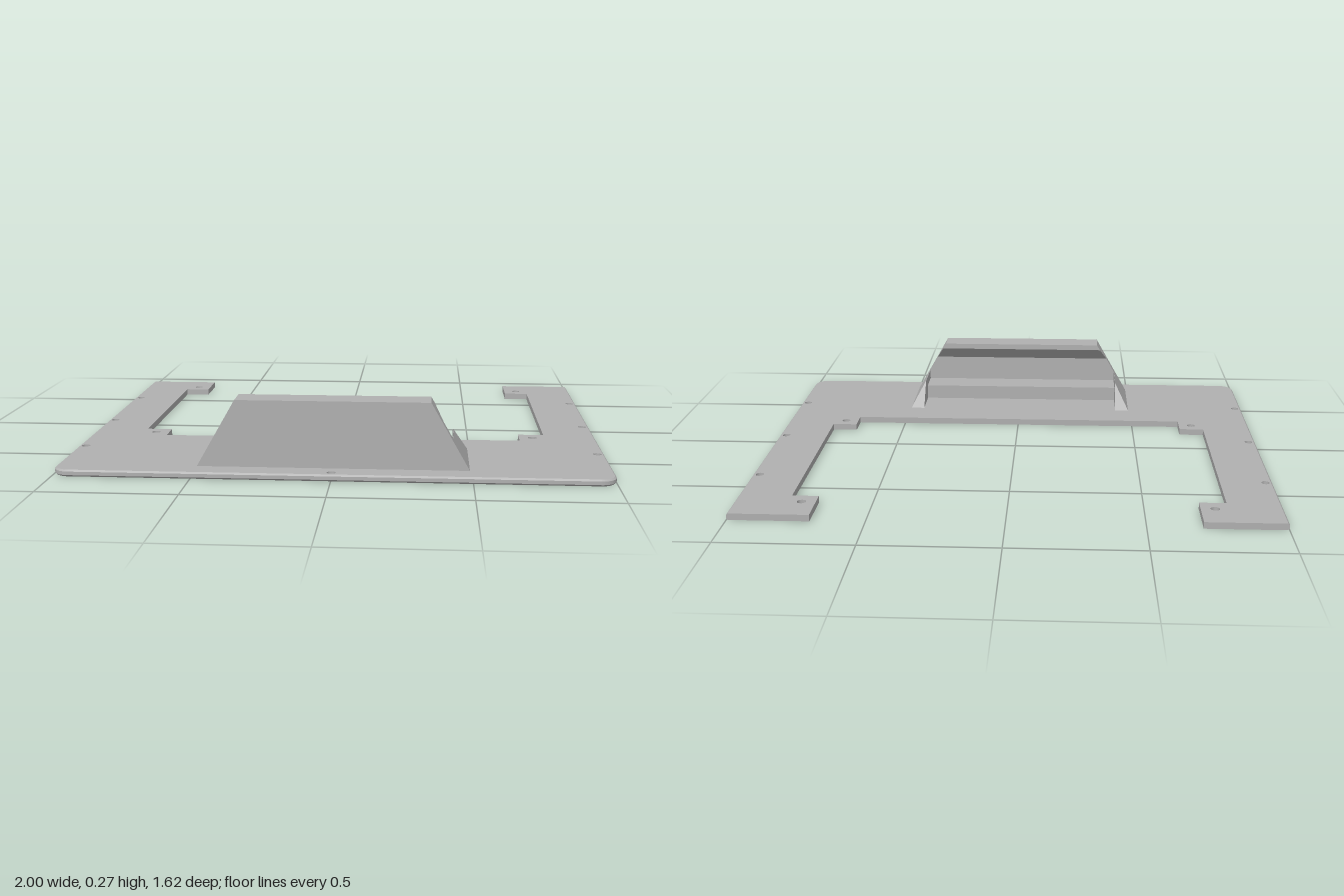
import * as THREE from 'three';
import { toCreasedNormals } from 'three/addons/utils/BufferGeometryUtils.js';

const PLATE = 0.025;   // plate thickness
const CORNER = 0.06;   // radius of the two front corners
const CHAMFER = 0.006; // bevel on the outer rim

// Half width of the clip's sloping sides at height y
const clipHalf = (y) => 0.49 - (y - PLATE) * (0.14 / 0.245);

function circlePath(x, z, r, sides) {
  const path = new THREE.Path();
  for (let i = 0; i < sides; i++) {
    const a = (i / sides) * Math.PI * 2;
    const px = x + r * Math.cos(a), py = -z + r * Math.sin(a);
    if (i) path.lineTo(px, py); else path.moveTo(px, py);
  }
  path.closePath();
  return path;
}

// U-shaped outline with four tabs, drawn as (x, -z)
function plateShape(tabRadius, tabSides) {
  const s = new THREE.Shape();
  s.moveTo(-1, 0.81);
  s.lineTo(-1, -0.81 + CORNER);
  s.absarc(-1 + CORNER, -0.81 + CORNER, CORNER, Math.PI, Math.PI * 1.5, false);
  s.lineTo(1 - CORNER, -0.81);
  s.absarc(1 - CORNER, -0.81 + CORNER, CORNER, -Math.PI / 2, 0, false);
  s.lineTo(1, 0.81);
  const inner = [[0.7, -0.81], [0.7, -0.635], [0.8, -0.635], [0.8, 0.17], [0.7, 0.17], [0.7, 0.27]];
  inner.forEach(([x, z]) => s.lineTo(x, -z));
  inner.reverse().forEach(([x, z]) => s.lineTo(-x, -z));
  s.closePath();

  s.holes.push(circlePath(0, 0.78, 0.016, 16));
  for (const side of [-1, 1]) {
    for (const z of [-0.43, 0.02, 0.46]) s.holes.push(circlePath(side * 0.973, z, 0.016, 16));
    for (const z of [-0.69, 0.22]) s.holes.push(circlePath(side * 0.753, z, tabRadius, tabSides));
  }
  return s;
}

// Half of the plate's thickness, bevelled on the rim at its top or bottom
function plateLayer(shape, top) {
  const half = PLATE / 2;
  const geo = new THREE.ExtrudeGeometry(shape, { depth: 2, steps: 2, bevelEnabled: false, curveSegments: 10 });
  geo.rotateX(-Math.PI / 2);
  const levels = top ? [half, PLATE - CHAMFER, PLATE] : [0, CHAMFER, half];
  const rimLevel = top ? 2 : 0;
  const p = geo.attributes.position;
  for (let i = 0; i < p.count; i++) {
    const level = Math.round(p.getY(i));
    const x = p.getX(i), z = p.getZ(i);
    p.setY(i, levels[level]);
    const cx = THREE.MathUtils.clamp(x, -1 + CORNER, 1 - CORNER);
    const cz = Math.min(z, 0.81 - CORNER);
    if (level === rimLevel && Math.hypot(x - cx, z - cz) > CORNER - 0.002) {
      const k = 1 - CHAMFER / CORNER;
      p.setX(i, cx + (x - cx) * k);
      p.setZ(i, cz + (z - cz) * k);
    }
  }
  return toCreasedNormals(geo, 0.4);
}

// Side profile of [z, y] points stretched between two x limits that depend on y
function prism(profile, xMin, xMax) {
  const shape = new THREE.Shape(profile.map(([z, y]) => new THREE.Vector2(-z, y)));
  const geo = new THREE.ExtrudeGeometry(shape, { depth: 1, bevelEnabled: false });
  geo.rotateY(Math.PI / 2);
  const p = geo.attributes.position;
  for (let i = 0; i < p.count; i++) {
    const y = p.getY(i);
    p.setX(i, p.getX(i) > 0.5 ? xMax(y) : xMin(y));
  }
  geo.computeVertexNormals();
  return geo;
}

export function createModel() {
  const model = new THREE.Group();
  model.name = 'mountingFrame';
  const grey = new THREE.MeshStandardMaterial({ color: 0xb0b0b0 });
  grey.name = 'grey plastic';

  const add = (parent, name, geo) => {
    const mesh = new THREE.Mesh(geo, grey);
    mesh.name = name;
    parent.add(mesh);
    return mesh;
  };

  // Base plate: the lower half has hexagonal nut pockets under the tab holes
  const plate = new THREE.Group();
  plate.name = 'basePlate';
  model.add(plate);
  add(plate, 'plateLower', plateLayer(plateShape(0.03, 6), false));
  add(plate, 'plateUpper', plateLayer(plateShape(0.017, 16), true));

  // Clip: hooked wall with sloping ends
  const clip = new THREE.Group();
  clip.name = 'clip';
  model.add(clip);
  const hook = [[0.725, PLATE], [0.725, 0.27], [0.62, 0.27], [0.62, 0.247], [0.68, 0.19], [0.68, PLATE]];
  add(clip, 'hookWall', prism(hook, (y) => -clipHalf(y), clipHalf));

  // Tapered cheeks either side of the ledge
  const cheek = [[0.68, PLATE], [0.68, 0.125], [0.5, 0.125], [0.41, PLATE]];
  add(clip, 'leftCheek', prism(cheek, () => 0.432, clipHalf));
  add(clip, 'rightCheek', prism(cheek, (y) => -clipHalf(y), () => -0.432));

  // Low ledge between the cheeks
  const ledge = add(clip, 'ledge', new THREE.BoxGeometry(0.864, 0.06, 0.12));
  ledge.position.set(0, PLATE + 0.03, 0.62);

  return model;
}
